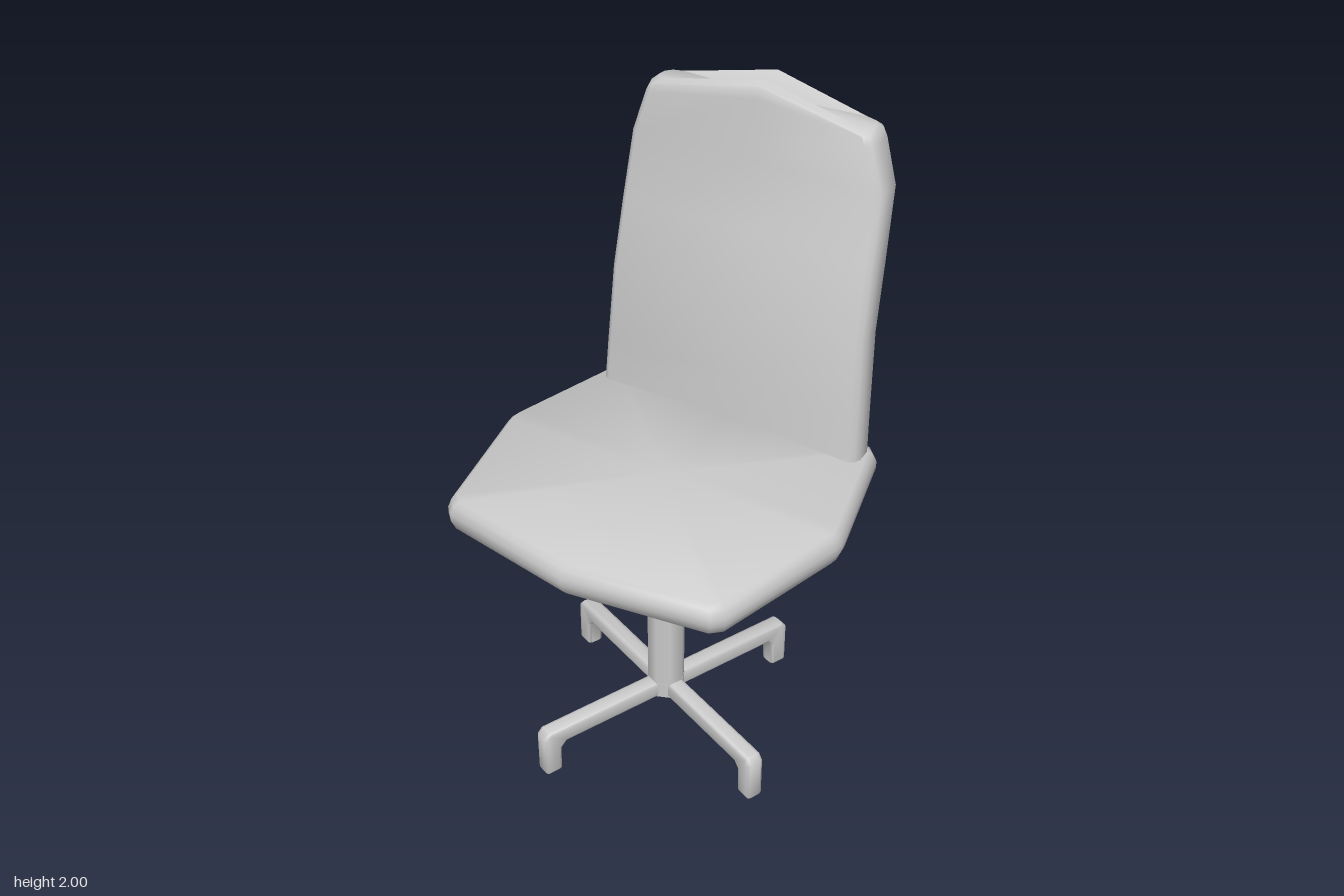
import * as THREE from 'three';
import { toCreasedNormals } from 'three/addons/utils/BufferGeometryUtils.js';

const material = new THREE.MeshStandardMaterial({ color: 0xcccccc });

// Completes a right-hand half outline (front centre to back) with its mirror image.
function mirrorRing(half) {
  const left = half.filter(p => p[0] > 1e-6).reverse().map(([x, y, z]) => [-x, y, z]);
  return [...half, ...left];
}

// Joins rings of equal length, bottom to top, and closes both ends.
function loft(rings) {
  const n = rings[0].length;
  const pos = rings.flat(2);
  const index = [];
  for (let i = 0; i < rings.length - 1; i++) {
    for (let j = 0; j < n; j++) {
      const k = (j + 1) % n;
      const a = i * n + j, b = i * n + k;
      index.push(a, b, b + n, a, b + n, a + n);
    }
  }
  const cap = (ring, start, up) => {
    const c = pos.length / 3;
    for (let d = 0; d < 3; d++) pos.push(ring.reduce((s, p) => s + p[d], 0) / n);
    for (let j = 0; j < n; j++) {
      const a = start + j, b = start + (j + 1) % n;
      index.push(c, up ? a : b, up ? b : a);
    }
  };
  cap(rings[0], 0, false);
  cap(rings[rings.length - 1], (rings.length - 1) * n, true);
  const g = new THREE.BufferGeometry();
  g.setAttribute('position', new THREE.Float32BufferAttribute(pos, 3));
  g.setIndex(index);
  return toCreasedNormals(g, 0.9);
}

function part(name, geometry) {
  const mesh = new THREE.Mesh(geometry, material);
  mesh.name = name;
  return mesh;
}

// Flat eight-sided cushion with a rounded rim
function makeSeat() {
  const half = [[0, 0.57], [0.44, 0.5], [0.47, 0.472], [0.576, 0.05], [0.58, 0.025],
    [0.576, -0.005], [0.475, -0.4], [0.447, -0.43], [0, -0.43]];
  const levels = [[0.845, 0.028], [0.862, 0.012], [0.892, 0], [0.915, 0], [0.942, 0.01], [0.955, 0.025]];
  return part('seat', loft(levels.map(([y, inset]) => mirrorRing(half.map(([x, z]) =>
    [x * (1 - inset / 0.58), y, 0.07 + (z - 0.07) * (1 - inset / 0.5)])))));
}

// Tall, slightly hollow backrest: edge height, centre height, half width, front z, back z
function makeBackrest() {
  const rows = [
    [0.91, 0.91, 0.457, -0.317, -0.426],
    [1.1, 1.1, 0.448, -0.331, -0.441],
    [1.35, 1.35, 0.436, -0.352, -0.465],
    [1.56, 1.56, 0.428, -0.396, -0.513],
    [1.77, 1.77, 0.418, -0.442, -0.562],
    [1.9, 1.95, 0.376, -0.449, -0.574],
    [1.925, 1.985, 0.365, -0.455, -0.573],
    [1.938, 2.0, 0.35, -0.48, -0.56],
  ];
  return part('backrest', loft(rows.map(([ye, yc, w, f, b]) => mirrorRing([
    [0, yc, f], [w - 0.025, ye, f + 0.024], [w - 0.008, ye, f + 0.012], [w, ye, f - 0.008],
    [w - 0.003, ye, b + 0.052], [w - 0.018, ye, b + 0.034], [w - 0.05, ye, b + 0.024], [0, yc, b],
  ]))));
}

// One base arm that bends down into a foot
function makeLeg() {
  const shape = new THREE.Shape([[0, 0.108], [0.395, 0.108], [0.412, 0.09], [0.415, 0.005],
    [0.422, 0], [0.468, 0], [0.473, 0.008], [0.473, 0.145], [0.455, 0.165], [0, 0.165]]
    .map(([x, y]) => new THREE.Vector2(x, y)));
  const bevel = 0.012, width = 0.056;
  const g = new THREE.ExtrudeGeometry(shape, {
    depth: width - 2 * bevel, bevelThickness: bevel, bevelSize: bevel, bevelOffset: -bevel, bevelSegments: 2,
  });
  g.translate(0, 0, bevel - width / 2);
  return part('leg', toCreasedNormals(g, 0.9));
}

export function createModel() {
  const model = new THREE.Group();
  model.name = 'chair';
  model.add(makeSeat(), makeBackrest());

  // Column and four-armed base
  const base = new THREE.Group();
  base.name = 'base';
  base.position.z = 0.035;
  const column = part('column', new THREE.CylinderGeometry(0.059, 0.059, 0.74, 8));
  column.position.y = 0.49;
  const hub = part('hub', new THREE.CylinderGeometry(0.06, 0.06, 0.054, 8));
  hub.position.y = 0.137;
  base.add(column, hub);
  for (let i = 0; i < 4; i++) {
    const leg = makeLeg();
    leg.rotation.y = -0.385 + i * Math.PI / 2;
    base.add(leg);
  }
  model.add(base);
  return model;
}
